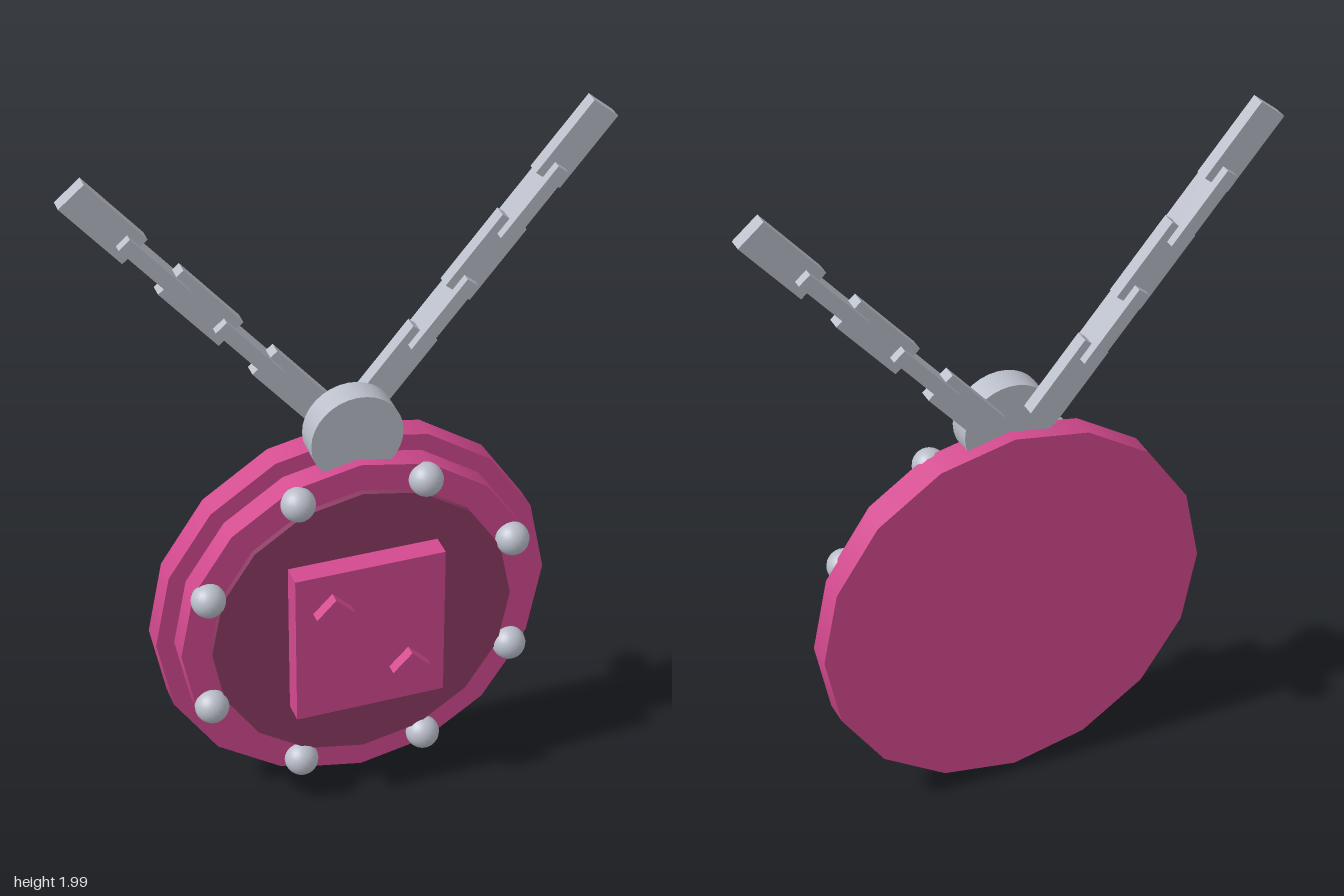
import * as THREE from 'three';

export function createModel() {
  const group = new THREE.Group();
  const material = (name, color) => {
    const m = new THREE.MeshStandardMaterial({ color });
    m.name = name;
    return m;
  };
  const pink = material('pink', 0xd2498e);
  const plum = material('dark plum', 0x8b3a62);
  const silver = material('silver', 0xbabec9);
  const CY = 0.572; // height of the medallion's centre

  const add = (name, geometry, mat, x, y, z, parent = group) => {
    const mesh = new THREE.Mesh(geometry, mat);
    mesh.name = name;
    mesh.position.set(x, y, z);
    parent.add(mesh);
    return mesh;
  };
  // Disc facing +z, between two depths
  const disc = (name, radius, z0, z1, sides, mat, y) => {
    const g = new THREE.CylinderGeometry(radius, radius, z1 - z0, sides).rotateX(Math.PI / 2);
    return add(name, g, mat, 0, y, (z0 + z1) / 2);
  };

  // Stepped medallion body
  disc('backDisc', 0.567, -0.106, -0.032, 16, pink, CY);
  disc('rimDisc', 0.516, -0.034, 0.038, 16, pink, CY);
  disc('faceDisc', 0.434, 0.03, 0.056, 16, plum, CY);

  // Raised plate with two diamond studs
  add('emblemPlate', new THREE.BoxGeometry(0.43, 0.472, 0.08), pink, 0, CY, 0.08);
  for (const s of [-1, 1]) {
    const stud = add('diamondStud', new THREE.BoxGeometry(0.078, 0.078, 0.04), pink,
      s * 0.11, CY - s * 0.118, 0.133);
    stud.rotation.z = Math.PI / 4;
  }

  // Ring of round rivets
  const rivet = new THREE.SphereGeometry(0.048, 20, 14);
  for (let i = 0; i < 8; i++) {
    const a = (i + 0.5) * Math.PI / 4;
    add('rivet', rivet, silver, 0.474 * Math.cos(a), CY + 0.474 * Math.sin(a), 0.05);
  }

  // Hanger disc at the top
  disc('hangerDisc', 0.13, -0.068, 0.01, 32, silver, 1.155);

  // Two chains of alternating flat and turned links
  const flat = new THREE.BoxGeometry(0.243, 0.09, 0.04);
  const turned = new THREE.BoxGeometry(0.243, 0.04, 0.09);
  const tilt = THREE.MathUtils.degToRad(50);
  for (const s of [-1, 1]) {
    const chain = new THREE.Group();
    chain.name = s > 0 ? 'leftChain' : 'rightChain';
    group.add(chain);
    for (let i = 0; i < 5; i++) {
      const link = add('chainLink', i % 2 ? turned : flat, silver,
        s * (0.146 + 0.123 * i), 1.29 + 0.147 * i, -0.106, chain);
      link.rotation.z = s * tilt;
    }
  }
  return group;
}
